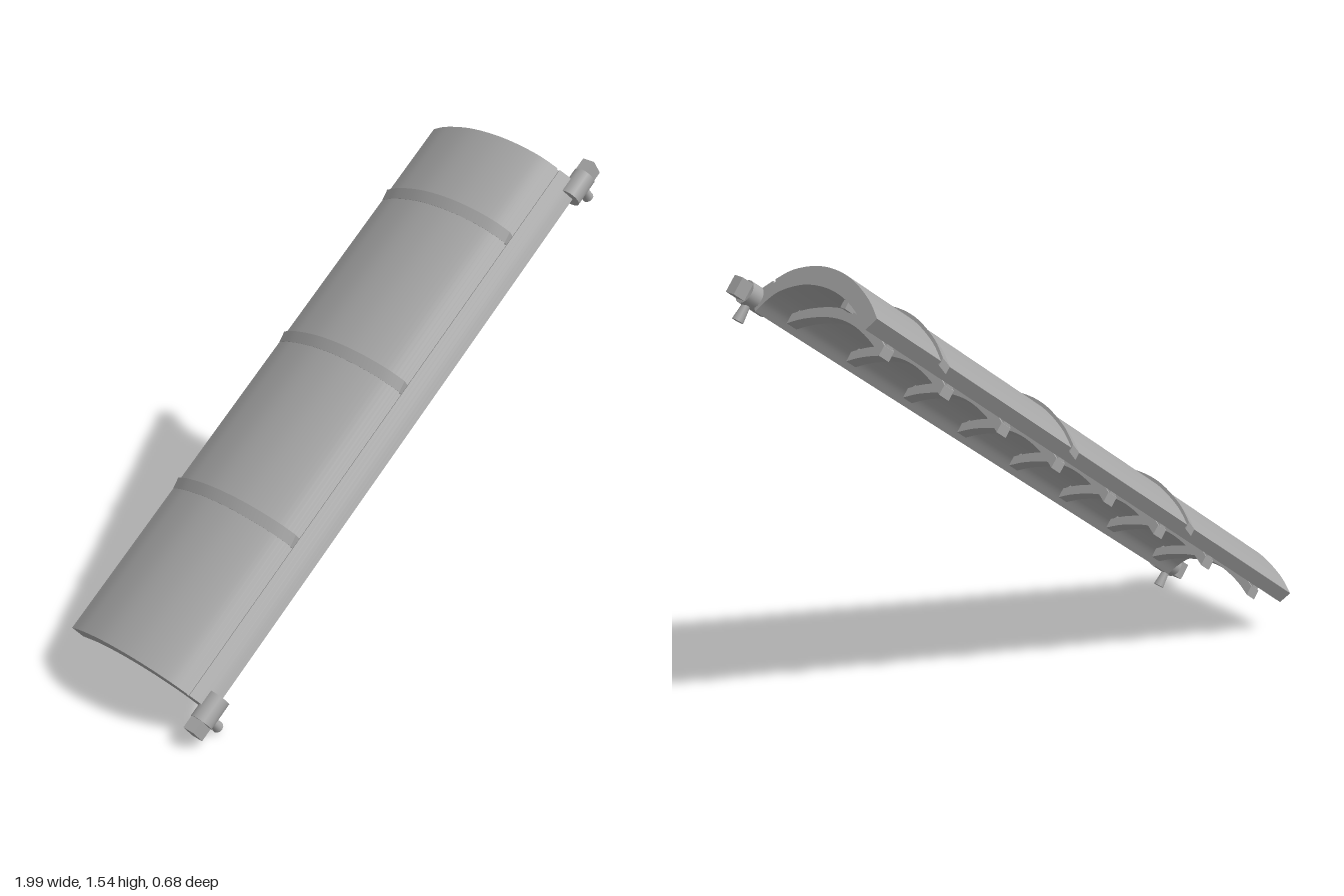
import * as THREE from 'three';
import { toCreasedNormals } from 'three/addons/utils/BufferGeometryUtils.js';

const TILT = THREE.MathUtils.degToRad(36);
const MID = 0.4435;       // middle of the panel along its length
const HALF = 1.1115;      // half the panel length

// smooth curve through [z, height] pairs
const smooth = (pts, n) =>
  new THREE.SplineCurve(pts.map(([z, v]) => new THREE.Vector2(z, v))).getPoints(n).map((p) => [p.x, p.y]);

// extrude a closed [z, height] section along the length (x) from u0 to u1
function section(pts, u0, u1) {
  const shape = new THREE.Shape(pts.map(([z, v]) => new THREE.Vector2(-z, v)));
  const geo = new THREE.ExtrudeGeometry(shape, { depth: u1 - u0, bevelEnabled: false, steps: 1 });
  geo.rotateY(Math.PI / 2).translate(u0, 0, 0);
  return geo;
}

// closed band between a curve raised by 'up' and lowered by 'down'
const band = (curve, up, down) => [
  ...curve.map(([z, v]) => [z, v + up]),
  ...curve.map(([z, v]) => [z, v - down]).reverse(),
];

export function createModel() {
  const model = new THREE.Group();
  model.name = 'curvedPanel';
  const gray = new THREE.MeshStandardMaterial({ color: 0xa6a6a6 });
  gray.name = 'plain gray';

  const tilted = new THREE.Group();
  tilted.name = 'tiltedAssembly';
  tilted.rotation.z = TILT;
  model.add(tilted);

  const add = (name, geo, parent = tilted) => {
    const mesh = new THREE.Mesh(geo, gray);
    mesh.name = name;
    parent.add(mesh);
    return mesh;
  };
  const creased = (geo) => toCreasedNormals(geo, 0.5);

  // curved shell, with a fine seam groove near its front edge
  const outer = smooth([[-0.337, 0.672], [-0.25, 0.722], [-0.12, 0.767], [0, 0.78], [0.1, 0.768],
    [0.19, 0.735], [0.248, 0.69]], 32);
  const lip = smooth([[0.255, 0.683], [0.292, 0.647], [0.318, 0.61]], 8);
  const inner = smooth([[0.262, 0.568], [0.235, 0.615], [0.19, 0.66], [0.1, 0.7], [0, 0.714],
    [-0.1, 0.707], [-0.2, 0.68], [-0.312, 0.628]], 32);
  const groove = [[0.24, 0.682], [0.247, 0.675]];
  add('shell', creased(section([...outer, ...groove, ...lip, ...inner], MID - HALF, MID + HALF)));

  // overlap ridges: flush on the low side, stepped on the high side
  for (const u of [-0.035, 0.61, 1.26]) {
    const geo = section(band(outer, 0.012, 0.015), u - 0.04, u);
    const pos = geo.attributes.position;
    for (let i = 0; i < pos.count; i++) {
      if (pos.getX(i) < u - 0.02) pos.setY(i, pos.getY(i) - 0.011);
    }
    add('overlapRidge', creased(geo));
  }

  // arched ribs under the shell, with short posts at their ends
  const arch = smooth([[-0.29, 0.605], [-0.22, 0.637], [-0.12, 0.665], [-0.03, 0.674], [0.06, 0.665],
    [0.16, 0.637], [0.23, 0.605]], 24);
  for (let i = 0; i < 8; i++) {
    const u = MID + (i - 3.5) * 0.2806;
    const rib = new THREE.Group();
    rib.name = 'rib';
    tilted.add(rib);
    add('ribArch', creased(section(band(arch, 0.018, 0.018), u - 0.0225, u + 0.0225)), rib);
    for (const z of [-0.28, 0.22]) {
      add('ribPost', new THREE.BoxGeometry(0.03, 0.04, 0.018), rib).position.set(u, 0.625, z);
    }
  }

  // long rod tying the ribs together
  add('spineRod', new THREE.BoxGeometry(2.08, 0.028, 0.026)).position.set(MID, 0.699, -0.053);

  // hinge brackets at both ends of the front edge
  for (const side of [-1, 1]) {
    const bracket = new THREE.Group();
    bracket.name = side < 0 ? 'lowerBracket' : 'upperBracket';
    tilted.add(bracket);
    const at = (d) => MID + side * d;
    const barrel = add('barrel', new THREE.CylinderGeometry(0.041, 0.041, 0.1, 24), bracket);
    barrel.rotation.z = Math.PI / 2;
    barrel.position.set(at(1.107), 0.61, 0.302);
    add('endBlock', new THREE.BoxGeometry(0.08, 0.062, 0.048), bracket).position.set(at(1.164), 0.611, 0.302);
    add('pin', new THREE.CylinderGeometry(0.013, 0.02, 0.07, 12), bracket).position.set(at(1.13), 0.551, 0.297);
  }
  return model;
}
